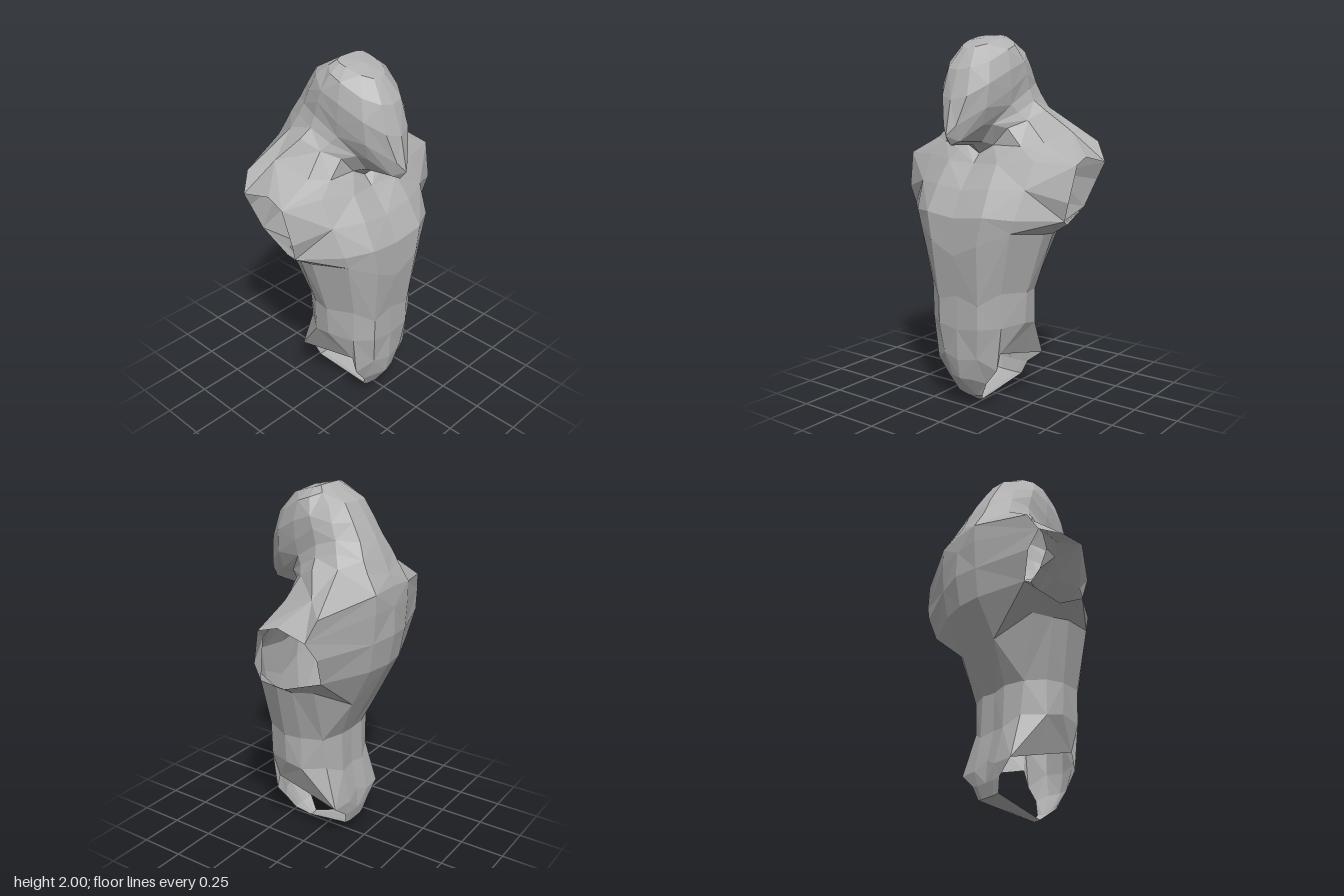
import * as THREE from 'three';

const grey = new THREE.MeshStandardMaterial({ color: 0xb0b0b0, side: THREE.DoubleSide });
grey.name = 'stone grey';
grey.flatShading = true;

// Cross-sections list one half, from the front middle round to the back middle: [x, y, z]
const legRim = [[0, .28, .31], [.11, .3, .29], [.2, .24, .235], [.205, .33, .21], [.21, .28, 0], [.215, .235, -.18], [.09, .23, -.19], [0, .27, -.175]];
const hips = [[0, .45, .315], [.13, .47, .31], [.23, .48, .24], [.285, .49, .1], [.28, .47, 0], [.2, .47, -.11], [.1, .42, -.15], [0, .43, -.14]];
const waist = [[0, .64, .315], [.13, .6, .31], [.23, .67, .245], [.295, .66, .1], [.28, .66, 0], [.22, .65, -.1], [.1, .65, -.14], [0, .64, -.135]];
const armpit = [[0, .86, .345], [.15, .93, .345], [.3, 1, .265], [.38, .98, .08], [.375, .97, -.02], [.34, .98, -.13], [.15, .87, -.24], [0, .87, -.255]];
const chest = [[0, 1.06, .34], [.18, 1.08, .34], [.32, 1.07, .265], [.5, 1.06, .08], [.45, 1.02, -.03], [.43, 1.09, -.24], [.15, 1.08, -.345], [0, 1.08, -.365]];
const armLevel = [[0, 1.2, .27], [.17, 1.22, .265], [.34, 1.22, .195], [.53, 1.16, .095], [.5, 1.2, -.05], [.49, 1.24, -.26], [.16, 1.24, -.37], [0, 1.25, -.395]];
const shoulder = [[0, 1.28, .2], [.16, 1.34, .18], [.34, 1.36, .12], [.55, 1.35, .05], [.535, 1.38, -.06], [.55, 1.34, -.235], [.16, 1.4, -.38], [0, 1.4, -.39]];
const collar = [[0, 1.33, .16], [.12, 1.4, .14], [.25, 1.43, .1], [.35, 1.45, .04], [.39, 1.5, -.16], [.49, 1.445, -.265], [.16, 1.5, -.38], [0, 1.51, -.38]];
const neck = [[0, 1.38, .11], [.09, 1.43, .11], [.17, 1.52, .1], [.24, 1.56, .02], [.28, 1.61, -.08], [.23, 1.62, -.2], [.15, 1.6, -.32], [0, 1.57, -.355]];

const headRows = [
  neck,
  [[0, 1.43, .17], [.06, 1.45, .17], [.12, 1.54, .16], [.2, 1.6, .05], [.225, 1.66, -.06], [.2, 1.69, -.17], [.14, 1.66, -.29], [0, 1.64, -.325]],
  [[0, 1.44, .35], [.04, 1.46, .33], [.11, 1.54, .23], [.18, 1.64, .08], [.205, 1.72, -.05], [.18, 1.75, -.15], [.11, 1.74, -.25], [0, 1.74, -.275]],
  [[0, 1.49, .39], [.04, 1.54, .36], [.14, 1.63, .24], [.19, 1.72, .09], [.205, 1.8, -.03], [.17, 1.83, -.12], [.1, 1.83, -.2], [0, 1.83, -.22]],
];
const crownRows = [
  headRows[3],
  [[0, 1.67, .35], [.08, 1.69, .32], [.15, 1.75, .23], [.19, 1.82, .1], [.2, 1.86, -.01], [.15, 1.91, -.09], [.09, 1.92, -.145], [0, 1.92, -.16]],
  [[0, 1.82, .295], [.07, 1.83, .28], [.13, 1.86, .2], [.165, 1.92, .09], [.16, 1.945, .02], [.12, 1.965, -.03], [.07, 1.97, -.06], [0, 1.97, -.07]],
  [[0, 1.93, .21], [.04, 1.935, .2], [.08, 1.95, .15], [.1, 1.975, .07], [.1, 1.985, .03], [.09, 1.995, 0], [.05, 2, -.01], [0, 2, -.01]],
  Array(8).fill([0, 1.98, .1]),
];

// Strip running from the back rim, under the body and up to the front rim
const strapRows = [
  legRim.slice(5).reverse(),
  [[0, .15, -.185], [.07, .15, -.185], [.12, .16, -.18]],
  [[0, .08, -.17], [.05, .08, -.17], [.09, .085, -.165]],
  [[0, 0, .13], [.015, 0, .13], [.03, .005, .13]],
  [[0, .05, .21], [.045, .055, .205], [.08, .06, .2]],
  [[0, .17, .29], [.07, .17, .27], [.13, .15, .23]],
  legRim.slice(0, 3),
];

// Joins neighbouring sections with mirrored facets; skip(row, column) leaves an opening
function loft(name, rows, skip = () => false) {
  const out = [];
  for (const side of [1, -1]) {
    const put = (...tri) => {
      if (side < 0) tri.reverse();
      for (const [x, y, z] of tri) out.push(side * x - .03 + .04 * x, y, z);
    };
    for (let r = 0; r < rows.length - 1; r++) {
      for (let c = 0; c < rows[r].length - 1; c++) {
        if (skip(r, c)) continue;
        const a = rows[r][c], b = rows[r][c + 1], d = rows[r + 1][c + 1], e = rows[r + 1][c];
        if ((r + c) % 2) { put(a, b, d); put(a, d, e); }
        else { put(a, b, e); put(b, d, e); }
      }
    }
  }
  const geo = new THREE.BufferGeometry();
  geo.setAttribute('position', new THREE.Float32BufferAttribute(out, 3));
  geo.computeVertexNormals();
  const mesh = new THREE.Mesh(geo, grey);
  mesh.name = name;
  return mesh;
}

export function createModel() {
  const group = new THREE.Group();
  group.name = 'torsoShell';
  group.add(
    loft('crotchStrap', strapRows),
    loft('lowerTorso', [legRim, hips, waist, armpit, chest]),
    // Arm openings sit in the two side columns
    loft('shoulders', [chest, armLevel, shoulder, collar, neck], (r, c) => r < 2 && (c === 3 || c === 4)),
    loft('face', headRows),
    loft('crown', crownRows),
  );
  return group;
}
